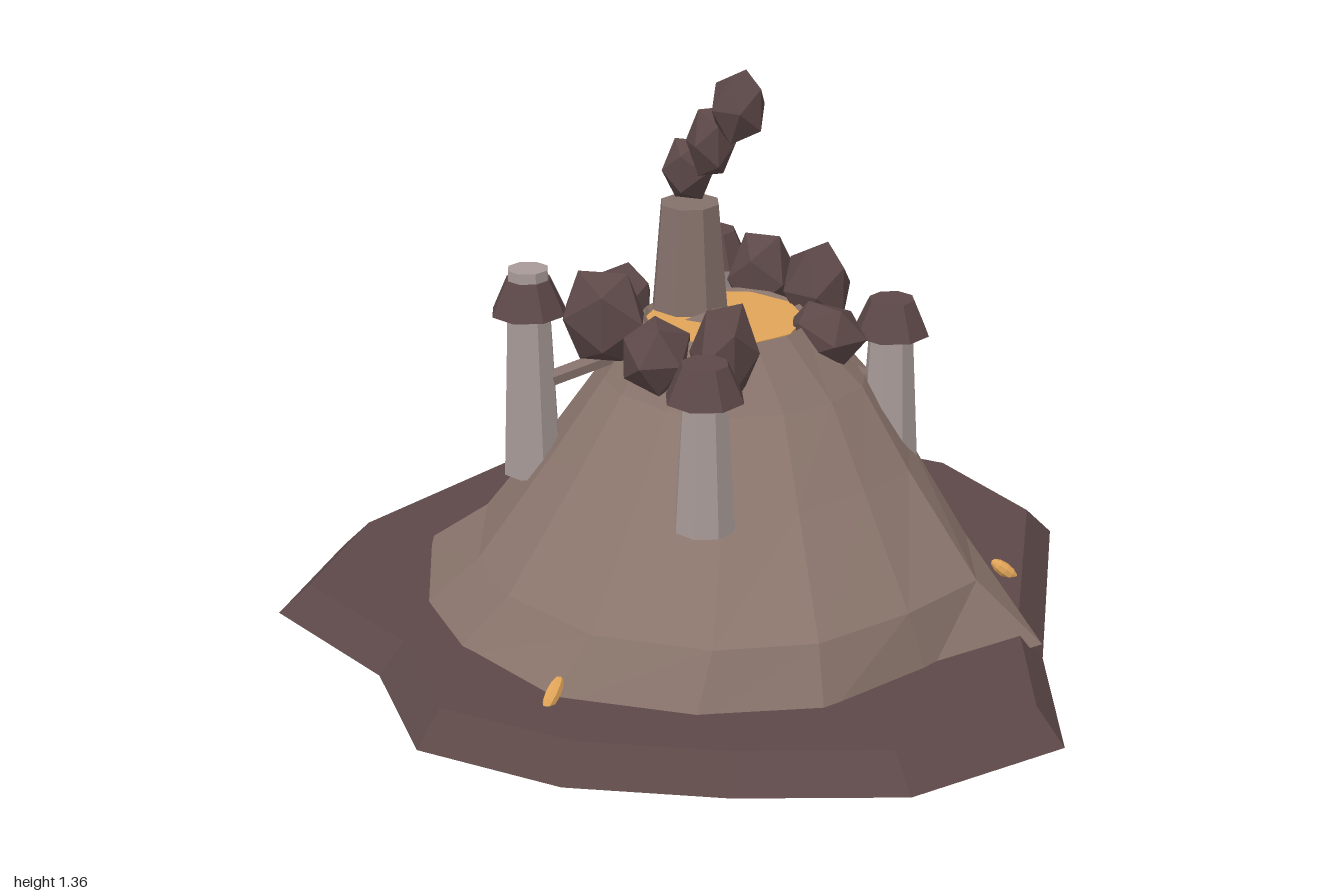
import * as THREE from 'three';

const V = (x, y, z) => new THREE.Vector3(x, y, z);
const mat = (color, side = THREE.FrontSide) =>
  new THREE.MeshStandardMaterial({ color, side, flatShading: true });
const ROCK = mat(0x5d4848), ROCK2 = mat(0x5d4848, THREE.DoubleSide);
const EARTH = mat(0x8a756c, THREE.DoubleSide), FLUE = mat(0x84706a);
const STONE = mat(0xa89a98), LAVA = mat(0xe0a458);

// Surface through a stack of closed rings with equal point counts
function loft(rings) {
  const n = rings[0].length, pos = [], idx = [];
  rings.forEach(r => r.forEach(p => pos.push(p.x, p.y, p.z)));
  for (let k = 0; k < rings.length - 1; k++) {
    for (let i = 0; i < n; i++) {
      const a = k * n + i, b = k * n + (i + 1) % n;
      idx.push(a, a + n, b, b, a + n, b + n);
    }
  }
  const g = new THREE.BufferGeometry();
  g.setAttribute('position', new THREE.Float32BufferAttribute(pos, 3));
  g.setIndex(idx);
  const flat = g.toNonIndexed();
  flat.computeVertexNormals();
  return flat;
}

function add(parent, name, geometry, material, x = 0, y = 0, z = 0) {
  const m = new THREE.Mesh(geometry, material);
  m.name = name;
  m.position.set(x, y, z);
  parent.add(m);
  return m;
}

// Round bar between two points
function bar(parent, name, a, b, r) {
  const m = add(parent, name, new THREE.CylinderGeometry(r, r, a.distanceTo(b), 6), FLUE);
  m.position.copy(a).lerp(b, 0.5);
  m.quaternion.setFromUnitVectors(V(0, 1, 0), b.clone().sub(a).normalize());
}

// Faceted lump
function lump(parent, name, x, y, z, rx, ry, rz, spin, material = ROCK) {
  const g = new THREE.IcosahedronGeometry(1, 0);
  g.rotateY(spin);
  g.scale(rx, ry, rz);
  return add(parent, name, g, material, x, y, z);
}

export function createModel() {
  const model = new THREE.Group();
  model.name = 'volcano';

  // Irregular ground slab, bevelled and open underneath
  const ground = [[0.86, 0.035], [1, 0.435], [0.735, 0.755], [0.37, 0.89], [0.01, 0.97],
    [-0.355, 0.93], [-0.59, 0.645], [-0.97, 0.435], [-1, 0.03], [-0.73, -0.71],
    [0.01, -0.97], [0.41, -0.92], [0.72, -0.675]];
  const slab = (s, y) => ground.map(([x, z]) => V(x * s, y, z * s));
  add(model, 'groundSlab', loft([slab(1, 0), slab(0.925, 0.075), slab(0, 0.075)]), ROCK2);

  // Mound: rough foot outline easing into rounder rings up to the crater
  const foot = [[0.86, 0.05], [0.65, 0.31], [0.485, 0.58], [0.22, 0.71], [-0.125, 0.74],
    [-0.43, 0.58], [-0.61, 0.39], [-0.77, 0.035], [-0.58, -0.28], [-0.43, -0.53],
    [-0.12, -0.64], [0.18, -0.76], [0.45, -0.53], [0.66, -0.24]];
  // [height, centre x, centre z, radius, share of foot shape]
  const levels = [[0.21, 0.06, 0.06, 0.6, 0.4], [0.44, 0.06, 0.01, 0.44, 0.2],
    [0.62, 0.06, -0.02, 0.32, 0.15], [0.765, 0.05, 0.015, 0.2, 0], [0.73, 0.05, 0.015, 0.17, 0]];
  const rings = [foot.map(([x, z]) => V(x, 0.045, z))];
  for (const [y, cx, cz, r, w] of levels) {
    rings.push(foot.map(([x, z]) => {
      const a = Math.atan2(z, x), k = r * (1 - w + w * Math.hypot(x, z) / 0.72);
      return V(cx + k * Math.cos(a), y, cz + k * Math.sin(a));
    }));
  }
  add(model, 'mound', loft(rings), EARTH);

  // Lava pool in the crater
  add(model, 'lavaPool', new THREE.CylinderGeometry(0.19, 0.19, 0.02, 10), LAVA, 0.05, 0.75, 0.015);

  // Central chimney and its smoke
  add(model, 'chimney', new THREE.CylinderGeometry(0.073, 0.11, 0.42, 8), FLUE, -0.06, 0.81, -0.04);
  [[-0.065, 1.1, -0.045, 0.065, 0.085], [0, 1.18, -0.02, 0.06, 0.095], [0.08, 1.28, 0.015, 0.07, 0.095]]
    .forEach(([x, y, z, r, h], i) => lump(model, 'smokePuff', x, y, z, r, h, r, i * 0.7));

  // Boulders around the crater rim
  [[0.045, 0.77, -0.275, 0.085, 0.125, 0.11], [0.215, 0.79, -0.185, 0.09, 0.12, 0.09],
    [0.285, 0.73, -0.025, 0.105, 0.085, 0.085], [0.135, 0.77, 0.265, 0.08, 0.13, 0.105],
    [-0.04, 0.73, 0.24, 0.09, 0.095, 0.1], [-0.205, 0.78, 0.16, 0.115, 0.13, 0.075],
    [-0.235, 0.76, -0.03, 0.085, 0.09, 0.085], [-0.12, 0.77, -0.185, 0.075, 0.09, 0.08]]
    .forEach((b, i) => lump(model, 'rimBoulder', ...b, i * 1.3));

  // Capped towers, each with a pipe to the crater
  const hub = V(0.04, 0.77, 0.04);
  // [x, z, foot height, cap base height, shaft shows above the cap]
  [[-0.395, 0.165, 0.36, 0.77, true], [0.15, 0.44, 0.41, 0.725, false],
    [0.425, -0.11, 0.41, 0.725, false], [-0.12, -0.38, 0.4, 0.755, false]]
    .forEach(([x, z, y0, y1, tall]) => {
      const tower = new THREE.Group();
      tower.name = 'tower';
      tower.position.set(x, 0, z);
      model.add(tower);
      const h = y1 - y0 + (tall ? 0.11 : 0.07);
      add(tower, 'shaft', new THREE.CylinderGeometry(0.05, 0.073, h, 8), STONE, 0, y0 + h / 2, 0);
      add(tower, 'cap', new THREE.CylinderGeometry(0.055, 0.093, 0.085, 8), ROCK, 0, y1 + 0.0425, 0);
      bar(model, 'pipe', V(x, 0.58, z), hub, 0.022);
    });

  // Lava drips at the foot of the mound, leaning up the slope
  [[-0.51, 0.1, -0.405, 0.08], [-0.105, 0.09, 0.74, 0.045], [0.7, 0.09, -0.225, 0.04]]
    .forEach(([x, y, z, len]) => {
      const drip = add(model, 'lavaDrip', new THREE.SphereGeometry(1, 8, 6), LAVA, x, y, z);
      drip.scale.set(0.018, len, 0.018);
      const upSlope = V(-x, 0.75 * Math.hypot(x, z), -z).normalize();
      drip.quaternion.setFromUnitVectors(V(0, 1, 0), upSlope);
    });

  return model;
}
